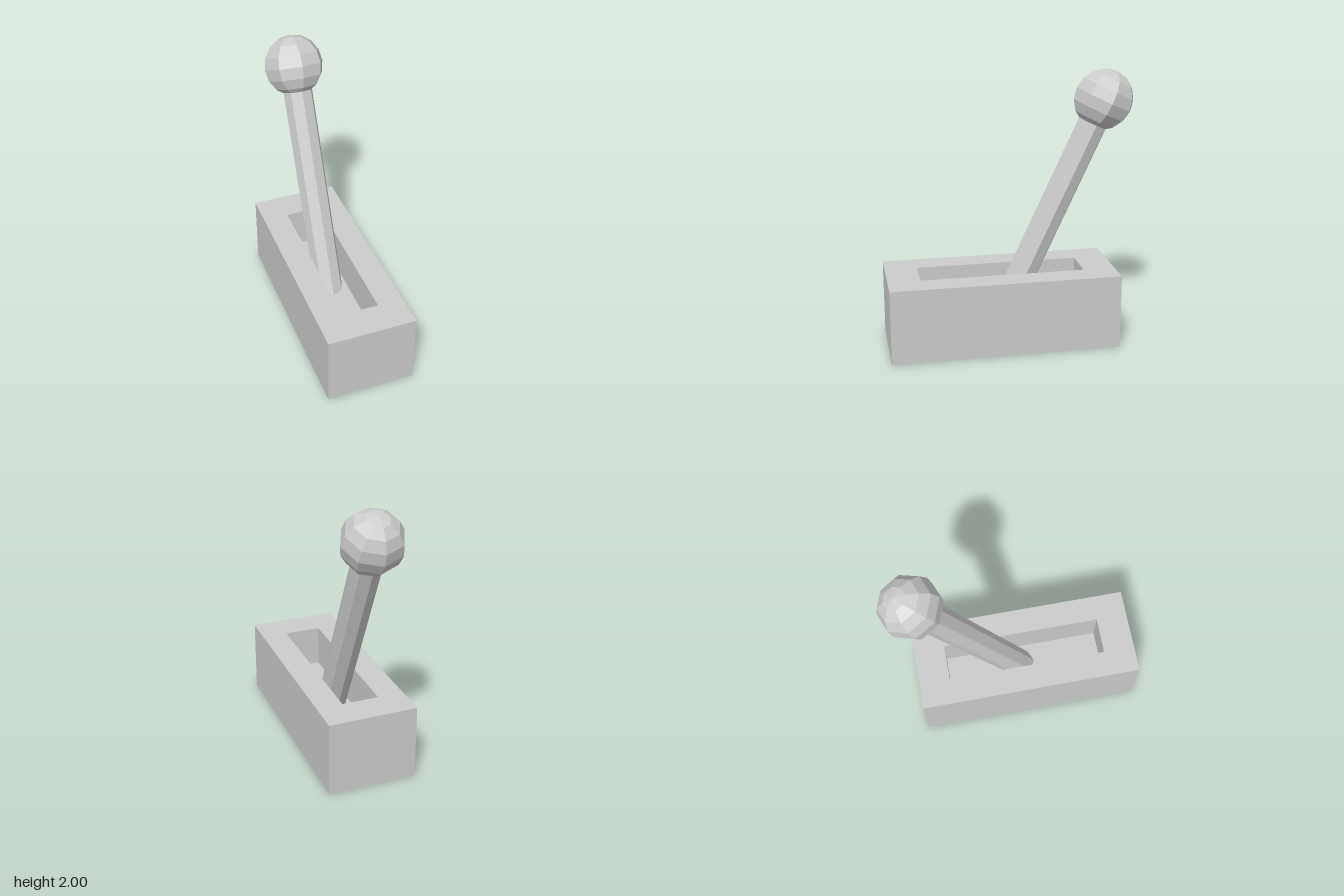
import * as THREE from 'three';

const material = new THREE.MeshStandardMaterial({ color: 0xcccccc, flatShading: true });

function addMesh(parent, name, geometry) {
  const mesh = new THREE.Mesh(geometry, material);
  mesh.name = name;
  parent.add(mesh);
  return mesh;
}

// Closed rectangular outline around the origin
function rectangle(PathType, width, length) {
  const x = width / 2, y = length / 2;
  return new PathType([[-x, -y], [x, -y], [x, y], [-x, y]].map(p => new THREE.Vector2(...p)));
}

export function createModel() {
  const model = new THREE.Group();
  model.name = 'lever';

  // Base: block with a slot, closed underneath by a thick floor
  const baseHeight = 0.55, floorHeight = 0.24;
  const slotWidth = 0.27, slotLength = 1.195;
  const base = new THREE.Group();
  base.name = 'base';
  base.position.z = 0.0725;
  model.add(base);

  const outline = rectangle(THREE.Shape, 0.65, 1.665);
  outline.holes.push(rectangle(THREE.Path, slotWidth, slotLength));
  const frame = new THREE.ExtrudeGeometry(outline, { depth: baseHeight, bevelEnabled: false });
  addMesh(base, 'slottedBlock', frame.rotateX(-Math.PI / 2));

  const floor = new THREE.BoxGeometry(slotWidth, floorHeight, slotLength);
  addMesh(base, 'slotFloor', floor.translate(0, floorHeight / 2, 0));

  // Handle: origin at the ball's centre, leaning towards the back
  const handle = new THREE.Group();
  handle.name = 'handle';
  handle.position.set(0, 1.78, -0.684);
  handle.rotation.x = -THREE.MathUtils.degToRad(25);
  model.add(handle);

  // Shaft runs from inside the floor up into the ball
  const shaftTop = -0.15, shaftBottom = -1.83;
  const shaft = new THREE.CylinderGeometry(0.109, 0.109, shaftTop - shaftBottom, 8);
  addMesh(handle, 'shaft', shaft.translate(0, (shaftTop + shaftBottom) / 2, 0));

  addMesh(handle, 'ballKnob', new THREE.SphereGeometry(0.22, 8, 8));

  return model;
}
